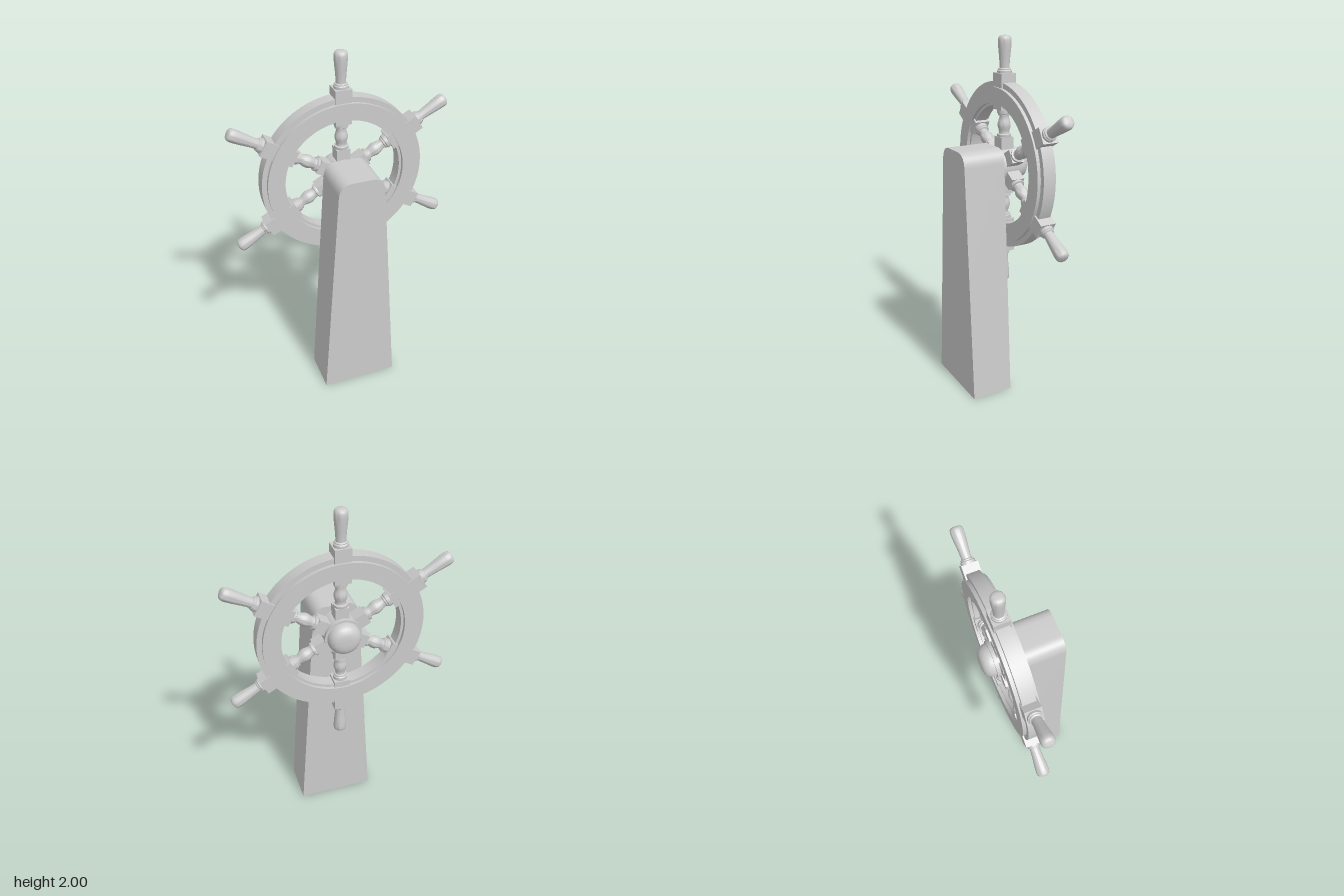
import * as THREE from 'three';
import { toCreasedNormals } from 'three/addons/utils/BufferGeometryUtils.js';

const material = new THREE.MeshStandardMaterial({ color: 0xcccccc });

function add(parent, name, geometry, x = 0, y = 0, z = 0) {
  const mesh = new THREE.Mesh(geometry, material);
  mesh.name = name;
  mesh.position.set(x, y, z);
  parent.add(mesh);
  return mesh;
}

// Turned piece around y from [radius, height] pairs, listed bottom to top
function turned(points, segments = 32) {
  const profile = points.map(([r, h]) => new THREE.Vector2(r, h));
  return toCreasedNormals(new THREE.LatheGeometry(profile, segments), 0.6);
}

// Tapered pedestal with rounded top corners
function pedestalGeometry() {
  const s = new THREE.Shape();
  s.moveTo(-0.22, 0);
  s.lineTo(0.22, 0);
  s.lineTo(0.129, 1.34);
  s.bezierCurveTo(0.126, 1.39, 0.1, 1.418, 0.055, 1.418);
  s.lineTo(-0.055, 1.418);
  s.bezierCurveTo(-0.1, 1.418, -0.126, 1.39, -0.129, 1.34);
  s.closePath();
  const g = new THREE.ExtrudeGeometry(s, { depth: 0.24, bevelEnabled: false, curveSegments: 12 });
  return toCreasedNormals(g, 0.5);
}

export function createModel() {
  const model = new THREE.Group();
  model.name = 'shipWheel';
  add(model, 'pedestal', pedestalGeometry(), 0, 0, -0.023);

  const wheel = new THREE.Group();
  wheel.name = 'wheel';
  wheel.position.set(0, 1.3, -0.095);
  model.add(wheel);

  // Rim: a narrow core with a raised band standing proud on both faces
  const rim = turned([
    [0.33, -0.036], [0.345, -0.036], [0.345, -0.055], [0.432, -0.055],
    [0.432, -0.036], [0.46, -0.036], [0.46, 0.036], [0.432, 0.036],
    [0.432, 0.055], [0.345, 0.055], [0.345, 0.036], [0.33, 0.036], [0.33, -0.036],
  ], 96);
  add(wheel, 'rim', rim).rotation.x = Math.PI / 2;

  // Hub with axle disc towards the pedestal and a domed cap behind
  const hub = turned([
    [0, -0.075], [0.09, -0.075], [0.09, -0.055], [0.102, -0.055], [0.102, 0.058],
    [0.09, 0.058], [0.09, 0.072], [0.086, 0.088], [0.077, 0.103],
    [0.063, 0.114], [0.045, 0.12], [0.02, 0.122], [0, 0.122],
  ], 48);
  add(wheel, 'hub', hub).rotation.x = -Math.PI / 2;

  const spindle = turned([
    [0.036, 0.155], [0.039, 0.165], [0.039, 0.175], [0.03, 0.178], [0.028, 0.186],
    [0.031, 0.2], [0.036, 0.218], [0.036, 0.232], [0.031, 0.25], [0.026, 0.266],
    [0.027, 0.276], [0.034, 0.279], [0.034, 0.287], [0.039, 0.291], [0.039, 0.304], [0.039, 0.315],
  ]);
  const handle = turned([
    [0.039, 0.495], [0.039, 0.518], [0.034, 0.523], [0.034, 0.528], [0.027, 0.532],
    [0.027, 0.55], [0.03, 0.59], [0.034, 0.63], [0.036, 0.66], [0.036, 0.678],
    [0.033, 0.69], [0.026, 0.697], [0.015, 0.7], [0, 0.7],
  ]);
  const rootBlock = new THREE.BoxGeometry(0.076, 0.11, 0.076);
  const rimBlock = new THREE.BoxGeometry(0.09, 0.195, 0.09);

  // Six spokes, each running from the hub through the rim to a handle
  for (let i = 0; i < 6; i++) {
    const spoke = new THREE.Group();
    spoke.name = `spoke${i + 1}`;
    spoke.rotation.z = (i * Math.PI) / 3;
    add(spoke, 'rootBlock', rootBlock, 0, 0.105, 0);
    add(spoke, 'spindle', spindle);
    add(spoke, 'rimBlock', rimBlock, 0, 0.4075, 0);
    add(spoke, 'handle', handle);
    wheel.add(spoke);
  }
  return model;
}
